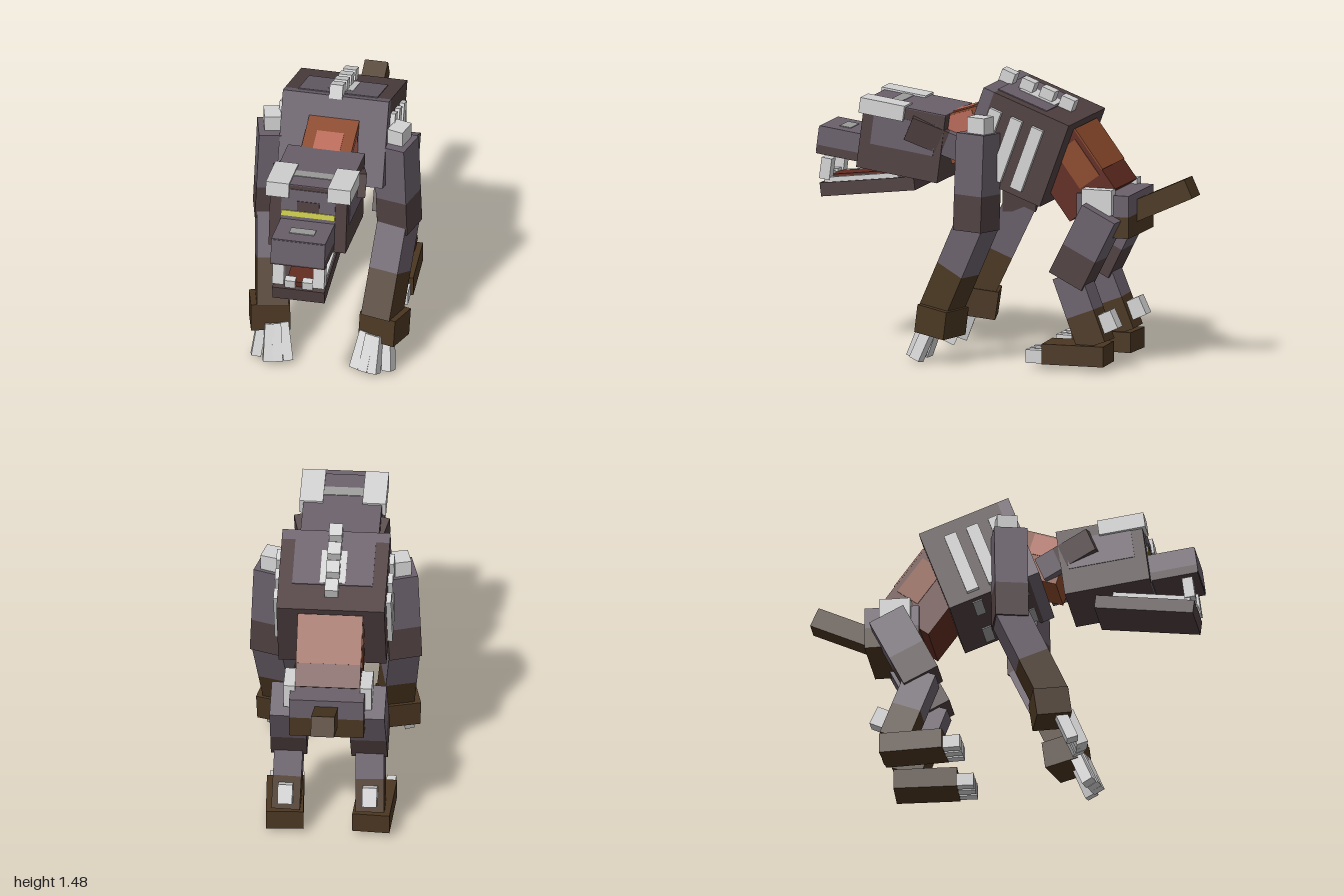
import * as THREE from 'three';

const mat = (name, color, extra) => {
  const m = new THREE.MeshStandardMaterial({ color });
  m.name = name;
  return m;
};
const hide = mat('greyPurpleHide', 0x6a606b);
const umber = mat('darkUmberHide', 0x4f3f40);
const brown = mat('brownFur', 0x4a3621);
const rust = mat('rustFlesh', 0x8a482b);
const salmon = mat('salmonFlesh', 0xb86857);
const red = mat('darkRedFlesh', 0x602b20);
const bone = mat('bone', 0xd2d3d2);
const greyBone = mat('greyBone', 0x9c9c9b);
const yellow = mat('yellowEye', 0xcccb4c);
const V = (x, y, z) => new THREE.Vector3(x, y, z);
const deg = Math.PI / 180;

// Box with centre, size and pitch; positive pitch lowers the front.
function box(parent, name, m, [x, y, z], [w, h, d], pitch = 0, yaw = 0) {
  const mesh = new THREE.Mesh(new THREE.BoxGeometry(w, h, d), m);
  mesh.name = name;
  mesh.position.set(x, y, z);
  mesh.rotation.set(pitch * deg, yaw * deg, 0, 'YXZ');
  parent.add(mesh);
  return mesh;
}

function joint(parent, name, [x, y, z], pitch) {
  const g = new THREE.Group();
  g.name = name;
  g.position.set(x, y, z);
  g.rotation.x = pitch * deg;
  parent.add(g);
  return g;
}

// Limb box running from a to b, split along its length: [material, share], ...
function limb(parent, name, a, b, w, d, yaw, parts) {
  const g = new THREE.Group();
  g.name = name;
  const Y = a.clone().sub(b), len = Y.length();
  Y.normalize();
  const X = V(Math.cos(yaw * deg), 0, -Math.sin(yaw * deg));
  X.addScaledVector(Y, -X.dot(Y)).normalize();
  const Z = X.clone().cross(Y);
  g.quaternion.setFromRotationMatrix(new THREE.Matrix4().makeBasis(X, Y, Z));
  g.position.copy(a);
  let t = 0;
  parts.forEach(([m, share], i) => {
    const h = share * len;
    box(g, name + 'Section' + (i + 1), m, [0, -t - h / 2, 0], [w, h, d]);
    t += h;
  });
  parent.add(g);
  return g;
}

export function createModel() {
  const root = new THREE.Group();
  root.name = 'beast';

  // Torso with ribs and spine, sloping down to the back
  const torso = joint(root, 'torso', [0, 1.132, -0.10], -20.3);
  box(torso, 'ribcage', umber, [0, 0, -0.03], [0.55, 0.455, 0.43]);
  box(torso, 'chest', hide, [0, 0, 0.215], [0.55, 0.455, 0.06]);
  box(torso, 'backPatch', hide, [0, 0.228, 0.05], [0.41, 0.008, 0.28]);
  box(torso, 'spineBase', bone, [0, 0.23, 0.02], [0.13, 0.008, 0.2]);
  for (let i = 0; i < 4; i++)
    box(torso, 'spineSpike', bone, [0, 0.25, 0.214 - i * 0.114], [0.068, 0.075, 0.075]);
  for (const s of [1, -1])
    for (let i = 0; i < 3; i++) {
      box(torso, 'rib', bone, [s * 0.28, -0.02, 0.14 - i * 0.12], [0.04, 0.34, 0.065]);
      box(torso, 'bellyRib', greyBone, [s * 0.16, -0.229, 0.14 - i * 0.12], [0.16, 0.008, 0.05]);
    }

  // Waist
  const waist = joint(root, 'waist', [0, 0.986, -0.387], 36.6);
  box(waist, 'waistCore', red, [0, 0, 0], [0.33, 0.37, 0.305]);
  box(waist, 'waistBackPatch', rust, [0, 0.06, -0.153], [0.332, 0.25, 0.008]);
  for (const s of [1, -1])
    box(waist, 'waistSidePatch', rust, [s * 0.165, 0.03, -0.06], [0.008, 0.22, 0.13]);

  // Pelvis and tail
  box(root, 'pelvisTop', hide, [0, 0.845, -0.56], [0.38, 0.11, 0.28]);
  box(root, 'pelvisBottom', brown, [0, 0.735, -0.56], [0.38, 0.11, 0.28]);
  box(root, 'tail', brown, [0, 0.845, -0.785], [0.12, 0.105, 0.42], 24.6);

  // Neck
  const neck = joint(root, 'neck', [0, 1.165, 0.17], 18);
  box(neck, 'neckCore', rust, [0, 0, 0], [0.26, 0.25, 0.3]);
  box(neck, 'neckTopPatch', salmon, [0, 0.125, 0.06], [0.14, 0.008, 0.18]);
  for (const s of [1, -1])
    box(neck, 'neckSidePatch', salmon, [s * 0.13, 0.06, 0.05], [0.008, 0.11, 0.18]);

  // Head
  const head = joint(root, 'head', [0, 1.11, 0.525], -7.6);
  box(head, 'skull', umber, [0, 0, 0], [0.4, 0.35, 0.44]);
  box(head, 'crown', hide, [0, 0.176, 0], [0.4, 0.008, 0.44]);
  box(head, 'face', hide, [0, -0.01, 0.22], [0.28, 0.33, 0.008]);
  box(head, 'foreheadPatch', umber, [0, 0.065, 0.223], [0.115, 0.055, 0.008]);
  box(head, 'eyeBand', yellow, [0, 0.02, 0.224], [0.28, 0.03, 0.009]);
  box(head, 'browBand', greyBone, [0, 0.179, 0.09], [0.22, 0.008, 0.06]);
  for (const s of [1, -1]) {
    box(head, 'browPlate', bone, [s * 0.16, 0.15, 0.118], [0.12, 0.08, 0.24]);
    box(head, 'templePatch', hide, [s * 0.2, 0.04, -0.01], [0.008, 0.16, 0.34]);
  }

  // Snout
  box(head, 'snoutTop', hide, [0, -0.065, 0.336], [0.28, 0.1, 0.25]);
  box(head, 'snoutBottom', umber, [0, -0.137, 0.336], [0.28, 0.045, 0.25]);
  box(head, 'snoutFront', hide, [0, -0.085, 0.46], [0.28, 0.13, 0.008]);
  box(head, 'nosePatch', greyBone, [0, -0.015, 0.35], [0.13, 0.008, 0.06]);

  // Lower jaw, tongue and teeth
  const jaw = joint(root, 'lowerJaw', [0, 0.866, 0.73], 7);
  box(jaw, 'jawBone', umber, [0, -0.01, 0], [0.27, 0.07, 0.51]);
  box(jaw, 'tongue', red, [0, 0.04, 0.02], [0.13, 0.03, 0.42]);
  for (const s of [1, -1]) {
    box(jaw, 'jawToothRow', bone, [s * 0.115, 0.035, 0.03], [0.025, 0.03, 0.4]);
    box(jaw, 'lowerTooth', bone, [s * 0.045, 0.045, 0.225], [0.055, 0.05, 0.04]);
    box(root, 'upperFang', bone, [s * 0.105, 0.935, 0.955], [0.06, 0.11, 0.055], -7.6);
  }

  for (const s of [1, -1]) {
    const p = (x, y, z) => V(s * x, y, z);
    const yaw = -s * 15;

    // Cheek flap behind the jaw hinge
    limb(root, 'cheekFlap', p(0.22, 1.19, 0.475), p(0.14, 1.075, 0.2), 0.05, 0.125, 0,
      [[umber, 0.65], [hide, 0.35]]);

    // Front leg
    limb(root, 'upperArm', p(0.315, 1.205, 0.06), p(0.335, 0.705, 0.07), 0.17, 0.17, yaw,
      [[hide, 0.63], [umber, 0.37]]);
    box(root, 'shoulderSpike', bone, [s * 0.33, 1.235, 0.05], [0.085, 0.11, 0.105], 0, yaw);
    limb(root, 'forearm', p(0.33, 0.74, 0.065), p(0.285, 0.27, 0.28), 0.16, 0.165, yaw,
      [[hide, 0.52], [brown, 0.48]]);
    box(root, 'hand', brown, [s * 0.298, 0.225, 0.27], [0.2, 0.145, 0.18], -8, yaw);
    [[0.325, 0.345, 0.39], [0.28, 0.275, 0.43], [0.25, 0.225, 0.42], [0.215, 0.175, 0.4]]
      .forEach(([x0, x1, z]) => limb(root, 'handClaw', p(x0, 0.2, z - 0.075),
        p(x1, 0.02, z), 0.05, 0.06, yaw, [[bone, 1]]));

    // Hind leg
    box(root, 'hipSpike', bone, [s * 0.195, 0.865, -0.54], [0.06, 0.13, 0.16]);
    limb(root, 'thigh', p(0.2, 0.815, -0.573), p(0.205, 0.46, -0.395), 0.185, 0.195, 0,
      [[hide, 0.58], [umber, 0.42]]);
    limb(root, 'shin', p(0.205, 0.49, -0.395), p(0.215, 0.13, -0.535), 0.145, 0.155, 0,
      [[hide, 0.55], [brown, 0.45]]);
    box(root, 'heelSpur', bone, [s * 0.215, 0.255, -0.605], [0.075, 0.1, 0.085], 25);
    box(root, 'foot', brown, [s * 0.228, 0.085, -0.44], [0.19, 0.105, 0.325], 0, s * 3);
    for (let i = 0; i < 3; i++)
      box(root, 'toeClaw', bone, [s * (0.168 + i * 0.064), 0.068, -0.235], [0.048, 0.068, 0.09], 0, s * 3);
  }
  return root;
}
